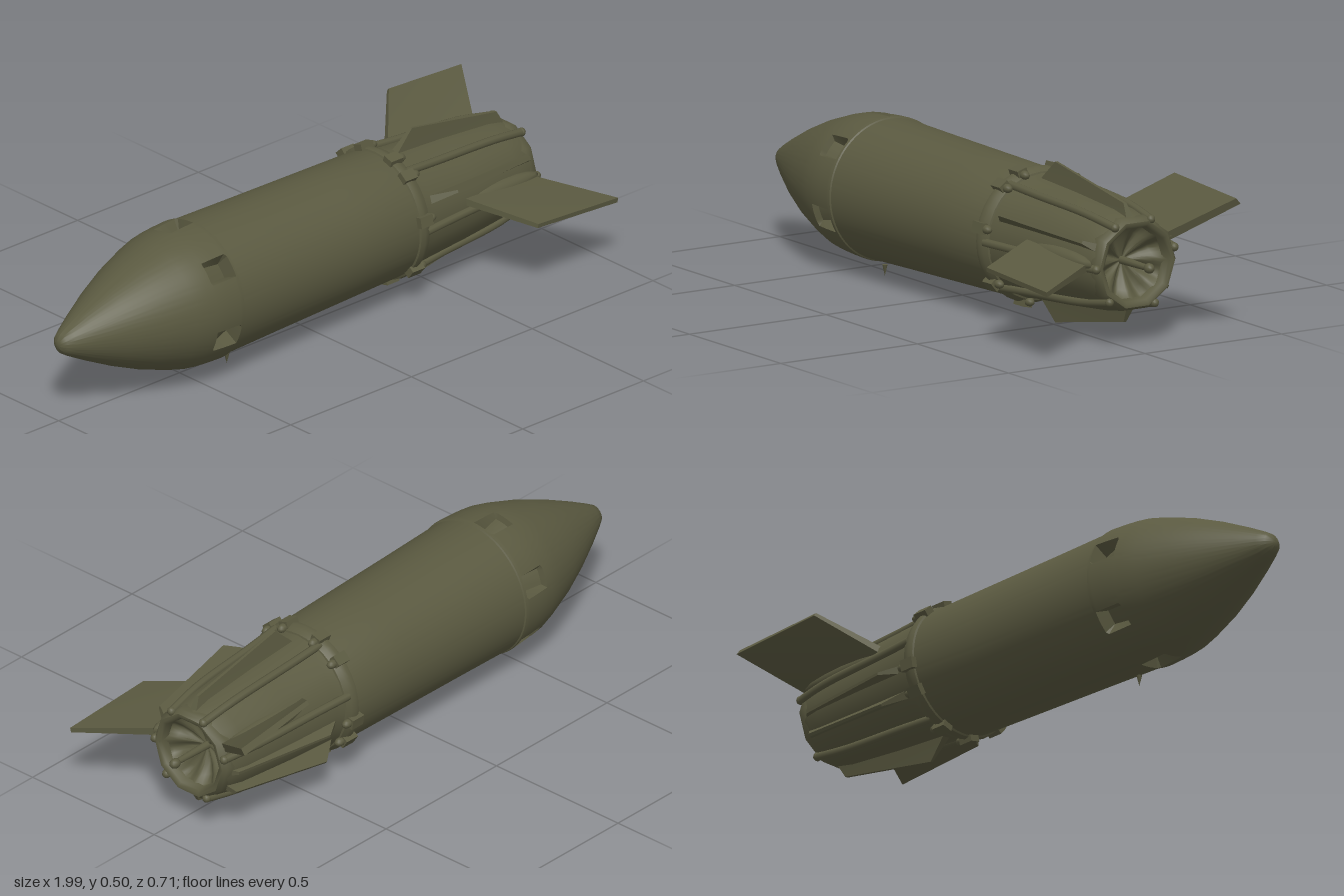
import * as THREE from 'three';
import { toCreasedNormals } from 'three/addons/utils/BufferGeometryUtils.js';

const RAD = Math.PI / 180;
const olive = new THREE.MeshStandardMaterial({ color: 0x5a5940 });
olive.name = 'olive paint';

// Point on the slightly skewed axis: station x, radius r, angle a (0 = +z, 90 = up)
const at = (x, r, a) => new THREE.Vector3(
  x,
  0.252 + r * Math.sin(a * RAD),
  -0.006 - 0.02 * (x + 1) + r * Math.cos(a * RAD)
);

// Surface of revolution from [x, r] stations, with an optional rule that changes each station
function loft(profile, segs, rule = (x, r) => [x, r], crease = 0.55) {
  const pos = [], idx = [];
  for (const [px, pr] of profile) {
    for (let j = 0; j <= segs; j++) {
      const a = (j % segs) * 360 / segs;
      const [x, r] = rule(px, pr, a);
      pos.push(...at(x, r, a).toArray());
    }
  }
  const w = segs + 1;
  for (let i = 0; i < profile.length - 1; i++) {
    for (let j = 0; j < segs; j++) {
      const p = i * w + j;
      idx.push(p, p + w, p + 1, p + w, p + w + 1, p + 1);
    }
  }
  const g = new THREE.BufferGeometry();
  g.setAttribute('position', new THREE.Float32BufferAttribute(pos, 3));
  g.setIndex(idx);
  return toCreasedNormals(g, crease);
}

// Solid plate from four corners, each with its own thickness
function plate(corners, thick) {
  const [a, b, , d] = corners;
  const n = b.clone().sub(a).cross(d.clone().sub(a)).normalize();
  const pts = [1, -1].flatMap(s => corners.map((c, i) => c.clone().addScaledVector(n, s * thick[i] / 2)));
  const idx = [0, 1, 2, 0, 2, 3, 4, 6, 5, 4, 7, 6];
  for (let i = 0; i < 4; i++) {
    const j = (i + 1) % 4;
    idx.push(i, i + 4, j, j, i + 4, j + 4);
  }
  const g = new THREE.BufferGeometry().setFromPoints(pts);
  g.setIndex(idx);
  return toCreasedNormals(g, 0.4);
}

export function createModel() {
  const model = new THREE.Group();
  const add = (name, geo, pos) => {
    const m = new THREE.Mesh(geo, olive);
    m.name = name;
    if (pos) m.position.copy(pos);
    model.add(m);
    return m;
  };
  const V = (x, y, z) => new THREE.Vector3(x, y, z);

  // Nose and barrel, with six sunken ports around the shoulder
  const sunk = (x, r, a) => {
    const off = Math.abs(((a + 20 + 30) % 60) - 30);
    const inside = x > -0.521 && x < -0.434 && off < 9;
    return [x, inside ? r - 0.02 - 0.35 * (x + 0.52) : r];
  };
  add('body', loft([
    [-1, 0], [-0.997, 0.016], [-0.985, 0.032], [-0.96, 0.047], [-0.9, 0.079], [-0.8, 0.128],
    [-0.7, 0.17], [-0.6, 0.203], [-0.55, 0.216], [-0.525, 0.219], [-0.52, 0.22], [-0.48, 0.223],
    [-0.435, 0.225], [-0.428, 0.225], [-0.42, 0.224], [-0.417, 0.22], [-0.41, 0.22],
    [-0.2, 0.215], [0.1, 0.209], [0.34, 0.204], [0.36, 0.2], [0.385, 0.19]
  ], 144, sunk));

  // Tail cone and raised collar
  add('tailCone', loft([[0.37, 0.198], [0.42, 0.19], [0.6, 0.178], [0.8, 0.16], [0.85, 0.15], [0.87, 0.143]], 24));
  add('collar', loft([[0.335, 0.2], [0.34, 0.21], [0.355, 0.213], [0.37, 0.208], [0.385, 0.2], [0.39, 0.185]], 36));

  // Lugs clamped over the collar
  for (const a of [12, 52, 72, 108, 133, 190, 213, 252, 283, 320]) {
    const lug = add('collarLug', new THREE.BoxGeometry(0.05, 0.022, 0.035), at(0.355, 0.213, a));
    lug.rotation.x = (90 - a) * RAD;
    const knob = add('lugKnob', new THREE.SphereGeometry(0.014, 10, 8), at(0.385, 0.206, a));
    knob.scale.x = 1.5;
  }

  // Exhaust lip and fluted bowl
  add('exhaustLip', loft([
    [0.84, 0.15], [0.86, 0.152], [0.88, 0.148], [0.893, 0.138], [0.893, 0.128], [0.885, 0.119], [0.86, 0.114]
  ], 10, undefined, 0.9));
  add('exhaustBowl', loft([
    [0.875, 0.122], [0.855, 0.114], [0.835, 0.09], [0.82, 0.06], [0.81, 0.03], [0.805, 0]
  ], 64, (x, r, a) => [x + 0.13 * r * Math.cos(8 * a * RAD), r], 0.8));

  // Central spike of the exhaust
  const rod = add('exhaustSpike', new THREE.CylinderGeometry(0.009, 0.013, 0.16, 10), at(0.885, 0, 0));
  rod.rotation.z = -Math.PI / 2;
  const tip = add('spikeKnob', new THREE.SphereGeometry(0.016, 12, 8), at(0.955, 0, 0));
  tip.scale.x = 1.2;

  // Thin strakes along the tail: [angle, peak radius]
  for (const [a, r] of [[87, 0.25], [273, 0.252], [26, 0.25], [213, 0.24], [188, 0.22]]) {
    add('strake', plate(
      [at(0.4, 0.175, a), at(0.48, r, a), at(0.84, r * 0.74, a), at(0.87, 0.13, a)],
      [0.03, 0.008, 0.01, 0.03]));
  }

  // Rounded ribs between the strakes
  for (const a of [-48, -118, 112, 58, 165, 0]) {
    const curve = new THREE.CatmullRomCurve3([at(0.37, 0.2, a), at(0.5, 0.188, a), at(0.75, 0.17, a), at(0.885, 0.145, a)]);
    add('tailRib', new THREE.TubeGeometry(curve, 12, 0.013, 8));
    add('ribEnd', new THREE.SphereGeometry(0.014, 10, 8), at(0.885, 0.145, a));
  }

  // Two large swept fins
  add('frontFin', plate(
    [V(0.55, 0.285, 0.12), V(0.66, 0.243, 0.353), V(0.99, 0.224, 0.353), V(0.84, 0.258, 0.09)],
    [0.022, 0.014, 0.016, 0.026]));
  add('rearFin', plate(
    [V(0.52, 0.33, -0.18), V(0.67, 0.459, -0.333), V(0.985, 0.43, -0.352), V(0.86, 0.31, -0.15)],
    [0.03, 0.014, 0.024, 0.03]));

  // Small fairings where the fins meet the tail
  for (const [x, a] of [[0.68, 5], [0.68, 153]]) {
    const f = add('finFairing', new THREE.SphereGeometry(1, 16, 10), at(x, 0.155, a));
    f.scale.set(0.2, 0.032, 0.032);
  }

  // Little pin below the barrel
  const pin = add('bellyPin', new THREE.ConeGeometry(0.009, 0.035, 6), V(-0.35, 0.02, 0.05));
  pin.rotation.z = Math.PI;

  return model;
}
